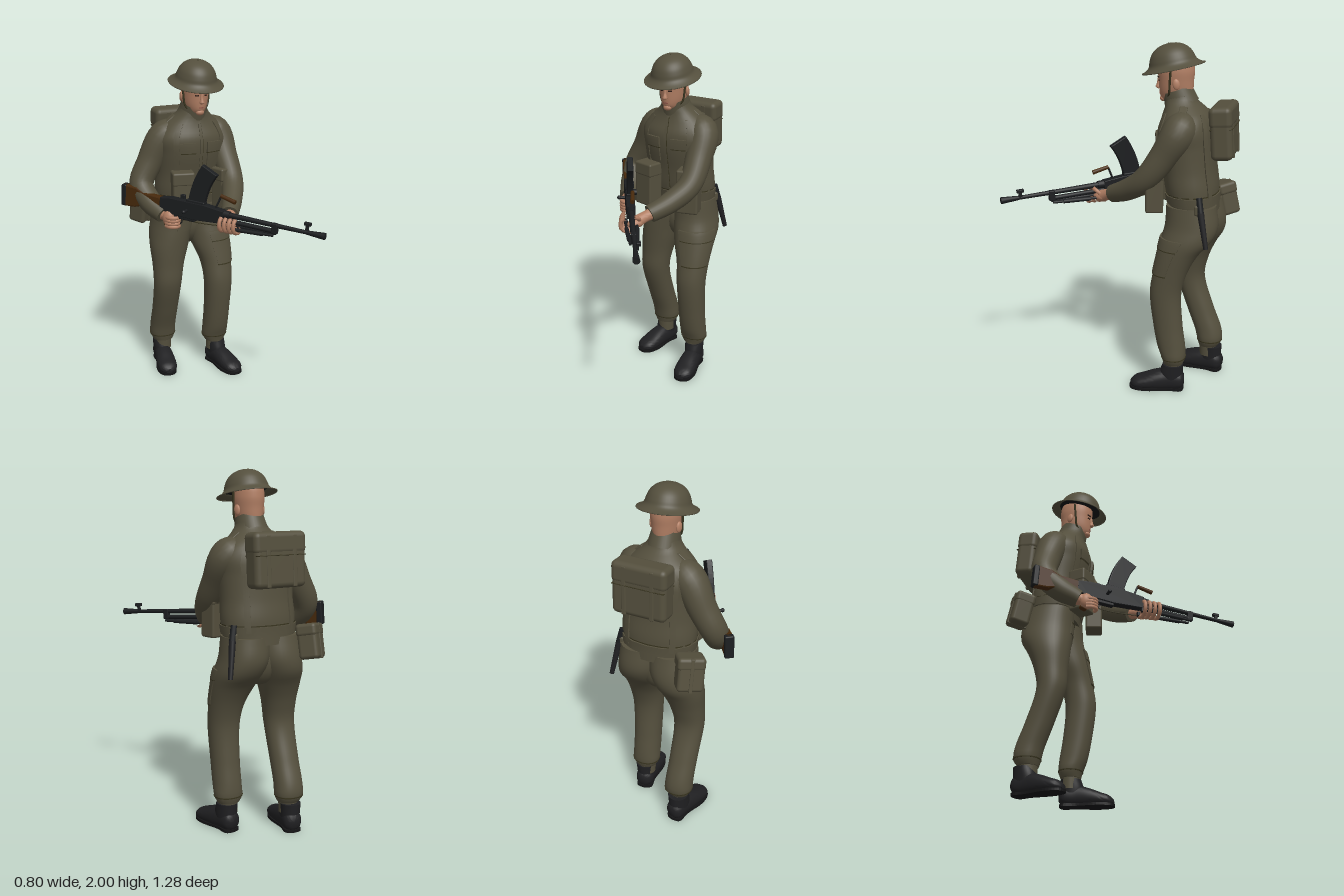
import * as THREE from 'three';
import { toCreasedNormals } from 'three/addons/utils/BufferGeometryUtils.js';
import { RoundedBoxGeometry } from 'three/addons/geometries/RoundedBoxGeometry.js';

const V = (x, y, z) => new THREE.Vector3(x, y, z);
const colour = (name, hex, side = THREE.FrontSide) => {
  const m = new THREE.MeshStandardMaterial({ color: hex, side });
  m.name = name;
  return m;
};

// Grid surface; f(u, v) gives a point, u runs around and v along
function grid(us, vs, f) {
  const pos = [], idx = [], n = us.length;
  vs.forEach((v, j) => us.forEach((u, i) => pos.push(...f(u, v, i, j))));
  for (let j = 0; j < vs.length - 1; j++) for (let i = 0; i < n - 1; i++) {
    const a = j * n + i;
    idx.push(a, a + 1, a + n + 1, a, a + n + 1, a + n);
  }
  const g = new THREE.BufferGeometry();
  g.setAttribute('position', new THREE.Float32BufferAttribute(pos, 3));
  g.setIndex(idx);
  return toCreasedNormals(g, 0.75);
}
const range = (a, b, n) => Array.from({ length: n + 1 }, (_, i) => a + (b - a) * i / n);

// Smooth value of the sections [y, cx, cz, rx, rz] at height y
function sectionAt(S, y) {
  let i = 0;
  while (i < S.length - 2 && y > S[i + 1][0]) i++;
  const h = S[i + 1][0] - S[i][0], t = (y - S[i][0]) / h;
  const slope = (k, c) => {
    const a = S[Math.max(k - 1, 0)], b = S[Math.min(k + 1, S.length - 1)];
    return (b[c] - a[c]) / (b[0] - a[0]) * h;
  };
  return [1, 2, 3, 4].map(c => {
    const p = S[i][c], q = S[i + 1][c], m = slope(i, c), n = slope(i + 1, c), t2 = t * t, t3 = t2 * t;
    return p * (2 * t3 - 3 * t2 + 1) + m * (t3 - 2 * t2 + t) + q * (3 * t2 - 2 * t3) + n * (t3 - t2);
  });
}
const bend = (v, p) => Math.sign(v) * Math.abs(v) ** p;

// Closed body through stacked sections
function loft(S, steps = 28, p = 0.92) {
  const ys = range(S[0][0], S.at(-1)[0], steps);
  const vs = [ys[0], ...ys, ys.at(-1)];
  return grid(range(0, Math.PI * 2, 36), vs, (a, y, i, j) => {
    const [cx, cz, rx, rz] = sectionAt(S, y), k = j === 0 || j === vs.length - 1 ? 0 : 1;
    return [cx + k * rx * bend(Math.sin(a), p), y, cz + k * rz * bend(Math.cos(a), p)];
  });
}
// Raised panel lying on a loft between two heights and two angles
function patch(S, y0, y1, a0, a1, grow, p = 0.92) {
  const as = range(a0, a1, 16), ys = range(y0, y1, 8);
  const us = [a0, ...as, a1], vs = [y0, ...ys, y1];
  return grid(us, vs, (a, y, i, j) => {
    const [cx, cz, rx, rz] = sectionAt(S, y);
    const edge = i === 0 || j === 0 || i === us.length - 1 || j === vs.length - 1;
    const g = edge ? -0.006 : grow;
    return [cx + (rx + g) * bend(Math.sin(a), p), y, cz + (rz + g) * bend(Math.cos(a), p)];
  });
}
// Limb of changing radius; points are [x, y, z, r]
function limb(pts, steps = 26) {
  const c = new THREE.CatmullRomCurve3(pts.map(q => V(q[0], q[1], q[2])));
  const r = new THREE.CatmullRomCurve3(pts.map(q => V(q[3], 0, 0)));
  const ts = range(0, 1, steps), vs = [0, ...ts, 1];
  return grid(range(0, Math.PI * 2, 24), vs, (a, t, i, j) => {
    const T = c.getTangent(t), N = V(1, 0, 0).cross(T).normalize(), B = T.clone().cross(N);
    const R = j === 0 || j === vs.length - 1 ? 0 : r.getPoint(t).x;
    return c.getPoint(t).addScaledVector(N, R * Math.cos(a)).addScaledVector(B, R * Math.sin(a)).toArray();
  });
}
function rod(a, b, r0, r1 = r0, n = 12) {
  const d = V(...b).sub(V(...a)), g = new THREE.CylinderGeometry(r1, r0, d.length(), n);
  g.applyQuaternion(new THREE.Quaternion().setFromUnitVectors(V(0, 1, 0), d.clone().normalize()));
  return g.translate(...V(...a).addScaledVector(d, 0.5).toArray());
}
// Side profile in (z, y), extruded across x
function sideShape(pts, width, bevel = 0.004) {
  const g = new THREE.ExtrudeGeometry(new THREE.Shape(pts.map(q => new THREE.Vector2(...q))),
    { depth: width - 2 * bevel, bevelSize: bevel, bevelThickness: bevel, bevelSegments: 2 });
  return g.translate(0, 0, bevel - width / 2).rotateY(-Math.PI / 2);
}
const box = (w, h, d, r = 0.012) => new RoundedBoxGeometry(w, h, d, 3, r);
const ball = (x, y, z) => new THREE.SphereGeometry(1, 20, 14).scale(x, y, z);

export function createModel() {
  const model = new THREE.Group();
  const olive = colour('olive cloth', 0x544f3d, THREE.DoubleSide), seam = colour('dark seam', 0x38341f);
  const skin = colour('skin', 0xb27f64), black = colour('boot leather', 0x202022);
  const metal = colour('gun metal', 0x1b1d1f), wood = colour('wood', 0x47290b);
  const sole = colour('sole', 0x151516);
  const eyeDark = colour('eye and brow', 0x2c1d16), lip = colour('lips', 0x965c4e);
  const add = (name, geo, mat, pos = [0, 0, 0], rot = [0, 0, 0], parent = model) => {
    const m = new THREE.Mesh(geo, mat);
    m.name = name;
    m.position.set(...pos);
    m.rotation.set(...rot);
    parent.add(m);
    return m;
  };

  // Jacket with belt, pockets, placket and webbing straps
  const torso = [[1.08, .04, -.41, .2, .14], [1.14, .04, -.405, .21, .142], [1.22, .04, -.395, .215, .15],
    [1.32, .04, -.38, .21, .15], [1.45, .04, -.362, .215, .158], [1.54, .04, -.357, .222, .155],
    [1.61, .04, -.36, .18, .135], [1.655, .04, -.345, .128, .11], [1.69, .04, -.325, .092, .09], [1.72, .04, -.32, .08, .08]];
  add('jacket', loft(torso, 36), olive);
  add('collar', new THREE.CylinderGeometry(.076, .09, .085, 36, 1, true).scale(1, 1, 1.08), olive, [.04, 1.708, -.313], [.34, 0, 0]);
  add('belt', patch(torso, 1.13, 1.18, 0, Math.PI * 2, 0.009), olive);
  add('beltSeam', patch(torso, 1.182, 1.188, 0, Math.PI * 2, 0.003), seam);
  add('placket', patch(torso, 1.2, 1.64, -.03, .03, 0.004), olive);
  add('placketSeam', patch(torso, 1.2, 1.64, .03, .04, 0.003), seam);
  for (const s of [-1, 1]) {
    const span = (a, b) => s > 0 ? [a, b] : [-b, -a];
    add('chestPocket', patch(torso, 1.37, 1.5, ...span(.16, .55), 0.007), olive);
    add('chestPocketFlap', patch(torso, 1.46, 1.52, ...span(.14, .57), 0.012), olive);
    add('pocketSeam', patch(torso, 1.454, 1.459, ...span(.14, .57), 0.009), seam);
    add('frontStrap', patch(torso, 1.3, 1.63, ...span(.6, .78), 0.006), olive);
    add('backStrap', patch(torso, 1.15, 1.63, ...span(2.4, 2.58), 0.007), olive);
    add('shoulderTab', box(.1, .012, .045, .005), olive, [.04 + s * .145, 1.64, -.36], [0, 0, -s * .62]);
    add('ammoPouch', box(.13, .25, .1), olive, [.06 + s * .14, 1.215, -.212], [0, s * .25, 0]);
    add('ammoPouchFlap', box(.135, .08, .106), olive, [.06 + s * .14, 1.315, -.212], [0, s * .25, 0]);
  }

  // Trousers
  const left = [[.165, .19, -.335, .062, .058], [.2, .19, -.337, .08, .068], [.27, .19, -.322, .08, .08], [.4, .19, -.3, .08, .084],
    [.6, .19, -.283, .087, .09], [.73, .185, -.308, .098, .098], [.84, .168, -.348, .12, .118], [.92, .157, -.39, .13, .145], [1, .14, -.415, .13, .15], [1.12, .13, -.41, .125, .14]];
  const right = [[.165, -.11, -.49, .062, .058], [.2, -.11, -.497, .08, .074], [.27, -.112, -.485, .08, .08], [.4, -.116, -.435, .08, .08],
    [.6, -.121, -.37, .087, .082], [.73, -.112, -.378, .098, .096], [.84, -.097, -.398, .117, .122], [.92, -.08, -.42, .125, .147], [1, -.06, -.425, .13, .152], [1.12, -.05, -.41, .125, .14]];
  for (const [side, S] of [['left', left], ['right', right]]) {
    add(side + 'TrouserLeg', loft(S, 40), olive);
    add(side + 'TrouserCuffSeam', patch(S, .2, .206, 0, Math.PI * 2, 0.003), seam);
    add(side + 'Gaiter', rod([S[0][1], .1, S[0][2]], [S[0][1], .19, S[0][2]], .052, .055, 20), olive);
  }
  add('seat', ball(.12, .15, .115), olive, [.038, .99, -.412]);
  add('thighPocket', patch(left, .73, .92, -.25, 1.5, 0.006), olive);
  add('thighPocketFlap', patch(left, .88, .94, -.27, 1.52, 0.009), olive);
  add('thighPocketSeam', patch(left, .874, .879, -.25, 1.5, 0.008), seam);
  add('thighPocketHem', patch(left, .722, .728, -.25, 1.5, 0.004), seam);
  add('mapPocket', patch(right, .96, 1.04, -.15, .55, 0.006), olive);
  add('mapPocketSeam', patch(right, 1.03, 1.035, -.15, .55, 0.008), seam);

  // Boots: heel at the group origin, toe along +z
  const bootS = [[0, 0, -.06, .03, .03], [.02, 0, -.06, .05, .055], [.1, 0, -.06, .054, .065], [.17, 0, -.052, .06, .058],
    [.24, 0, -.04, .062, .043], [.29, 0, -.033, .052, .031], [.315, 0, -.027, .022, .014]];
  const outline = new THREE.Shape(new THREE.SplineCurve([[0, 0], [.047, .02], [.045, .1], [.063, .22], [.045, .3], [0, .322],
    [-.045, .3], [-.063, .22], [-.045, .1], [-.047, .02], [0, 0]].map(q => new THREE.Vector2(...q))).getPoints(50));
  for (const [side, x, z, yaw] of [['left', .187, -.4, .16], ['right', -.1, -.575, -.2]]) {
    const boot = new THREE.Group();
    boot.name = side + 'Boot';
    boot.position.set(x, 0, z);
    boot.rotation.y = yaw;
    const upper = loft(bootS, 24).rotateX(Math.PI / 2), P = upper.attributes.position;
    for (let i = 0; i < P.count; i++) P.setY(i, Math.max(P.getY(i), 0.013));
    add('bootUpper', upper, black, [0, 0, 0], [0, 0, 0], boot);
    add('bootShaft', loft([[.04, 0, .07, .05, .062], [.1, 0, .075, .055, .068], [.158, 0, .066, .058, .06]], 8), black, [0, 0, 0], [0, 0, 0], boot);
    add('bootSole', new THREE.ExtrudeGeometry(outline, { depth: .015, bevelEnabled: false }).rotateX(Math.PI / 2), sole, [0, .015, 0], [0, 0, 0], boot);
    model.add(boot);
  }

  // Sleeves
  add('leftSleeve', limb([[.12, 1.59, -.355, .065], [.2, 1.545, -.35, .096], [.226, 1.41, -.27, .079], [.226, 1.27, -.165, .069],
    [.167, 1.19, -.05, .062], [.098, 1.14, .055, .052]]), olive);
  add('rightSleeve', limb([[-.04, 1.59, -.37, .065], [-.128, 1.54, -.38, .092], [-.213, 1.39, -.395, .08], [-.278, 1.26, -.38, .073],
    [-.255, 1.165, -.29, .068], [-.215, 1.11, -.19, .052]]), olive);

  // Hands
  const finger = (name, pts) => add(name, new THREE.TubeGeometry(new THREE.CatmullRomCurve3(pts.map(q => V(...q))), 10, .012, 8), skin);
  add('leftWrist', limb([[.11, 1.145, .04, .035], [.085, 1.13, .085, .032], [.06, 1.11, .13, .036]], 10), skin);
  add('leftPalm', ball(.034, .028, .055), skin, [.06, 1.106, .14], [.1, -.5, 0]);
  add('rightWrist', limb([[-.22, 1.115, -.21, .036], [-.205, 1.11, -.18, .034], [-.19, 1.1, -.15, .036]], 10), skin);
  add('rightPalm', ball(.037, .05, .042), skin, [-.197, 1.1, -.15], [0, .6, 0]);
  for (let i = 0; i < 4; i++) {
    const x = .01 + i * .016, z = .12 + i * .026, y = 1.055 + i * .018;
    finger('leftFinger', [[x + .045, 1.095, z - .015], [x + .015, 1.075, z + .015], [x - .03, 1.095, z + .042], [x - .032, 1.14, z + .043], [x - .015, 1.158, z + .032]]);
    finger('rightFinger', [[-.22, y, -.145], [-.21, y, -.11], [-.175, y, -.094], [-.15, y, -.112]]);
  }
  finger('leftThumb', [[.08, 1.12, .13], [.085, 1.145, .16], [.075, 1.155, .18]]);
  finger('rightThumb', [[-.19, 1.12, -.15], [-.165, 1.13, -.135], [-.145, 1.13, -.115]]);

  // Head and face
  const head = [[1.64, .04, -.325, .056, .058], [1.685, .04, -.305, .05, .076], [1.705, .04, -.294, .055, .086], [1.74, .04, -.294, .068, .094],
    [1.8, .04, -.293, .077, .098], [1.86, .04, -.292, .081, .103], [1.92, .04, -.29, .068, .09], [1.95, .04, -.29, .03, .04]];
  add('head', loft(head, 30, 1), skin);
  add('nose', loft([[1.75, .04, -.194, .012, .008], [1.758, .04, -.192, .015, .016], [1.775, .04, -.194, .01, .012], [1.81, .04, -.196, .007, .008]], 10, 1), skin);
  add('chin', ball(.026, .018, .02), skin, [.04, 1.697, -.222]);
  add('lips', patch(head, 1.723, 1.73, -.22, .22, .002, 1), lip);
  for (const s of [-1, 1]) {
    const span = (a, b) => s > 0 ? [a, b] : [-b, -a];
    add('eye', patch(head, 1.794, 1.802, ...span(.24, .5), .002, 1), eyeDark);
    add('brow', patch(head, 1.814, 1.82, ...span(.2, .56), .004, 1), eyeDark);
    add('ear', ball(.011, .03, .02), skin, [.04 + s * .08, 1.785, -.31], [.15, s * .3, 0]);
  }
  const strap = new THREE.CatmullRomCurve3([[-.047, 1.88, -.28], [-.042, 1.8, -.274], [-.03, 1.73, -.268], [.04, 1.683, -.235],
    [.11, 1.73, -.268], [.122, 1.8, -.274], [.127, 1.88, -.28]].map(q => V(...q)));
  add('chinStrap', new THREE.TubeGeometry(strap, 40, .0065, 6), seam);

  // Wide-brimmed helmet
  const helmet = new THREE.Group();
  helmet.name = 'helmet';
  helmet.position.set(.04, 1.864, -.277);
  helmet.rotation.x = .22;
  helmet.scale.z = 1.1;
  const dome = new THREE.SplineCurve([[.16, 0], [.138, .013], [.122, .03], [.114, .056], [.1, .087], [.075, .114], [.04, .131], [0, .137]].map(q => new THREE.Vector2(...q)));
  add('helmetShell', new THREE.LatheGeometry(dome.getPoints(30), 48), olive, [0, 0, 0], [0, 0, 0], helmet);
  add('helmetRim', new THREE.TorusGeometry(.16, .003, 6, 48).rotateX(Math.PI / 2), olive, [0, 0, 0], [0, 0, 0], helmet);
  add('helmetLining', new THREE.CircleGeometry(.12, 36).rotateX(Math.PI / 2), sole, [0, .026, 0], [0, 0, 0], helmet);
  add('helmetRivet', ball(.004, .003, .004), seam, [0, .137, 0], [0, 0, 0], helmet);
  model.add(helmet);

  // Backpack
  add('backpack', box(.31, .29, .12, .03), olive, [.04, 1.535, -.57], [.07, 0, 0]);
  add('backpackFlap', box(.317, .12, .126, .03), olive, [.04, 1.622, -.564], [.07, 0, 0]);
  for (const s of [-1, 1]) add('backpackStrap', box(.026, .27, .127, .005), olive, [.04 + s * .08, 1.53, -.57], [.07, 0, 0]);
  add('backpackSeam', box(.3, .005, .123, .002), seam, [.04, 1.56, -.57], [.07, 0, 0]);

  // Hip bag behind the right hip
  const bagRot = [.22, .65, 0];
  add('hipBag', box(.145, .19, .11, .02), olive, [-.21, 1.078, -.545], bagRot);
  add('hipBagFlap', box(.152, .07, .117, .02), olive, [-.208, 1.14, -.532], bagRot);
  add('hipBagStrap', box(.02, .195, .118, .004), olive, [-.21, 1.078, -.545], bagRot);

  // Bayonet on the left hip
  add('scabbard', rod([.25, 1.11, -.485], [.285, .915, -.525], .019, .013), black);
  add('bayonetHandle', rod([.232, 1.19, -.47], [.25, 1.11, -.485], .018, .018), metal);
  add('bayonetFrog', box(.04, .06, .05), olive, [.238, 1.12, -.472]);

  // Light machine gun: butt at the group origin, muzzle along +z
  const gun = new THREE.Group();
  gun.name = 'lightMachineGun';
  gun.position.set(-.38, 1.205, -.415);
  gun.rotation.set(.064, .632, 0, 'YXZ');
  const part = (name, geo, mat = metal, pos, rot) => add(name, geo, mat, pos, rot, gun);
  part('buttPlate', box(.052, .132, .034, .008), metal, [0, 0, .014]);
  part('stock', sideShape([[.02, .058], [.02, -.06], [.09, -.055], [.15, -.035], [.28, -.03], [.28, .025], [.15, .03], [.1, .052]], .046, .008), wood);
  part('receiver', sideShape([[.27, -.035], [.27, .03], [.34, .04], [.56, .04], [.68, .028], [.68, -.04], [.5, -.055], [.34, -.05]], .05));
  part('triggerHousing', box(.036, .04, .2, .006), metal, [0, -.055, .4]);
  part('pistolGrip', box(.034, .09, .042, .01), wood, [0, -.095, .325], [.3, 0, 0]);
  part('triggerGuard', new THREE.TorusGeometry(.026, .004, 6, 20).rotateY(Math.PI / 2), metal, [0, -.085, .385]);
  part('rearSight', box(.02, .035, .03, .005), metal, [.02, .05, .4]);
  part('sightDrum', rod([.02, .01, .42], [.045, .01, .42], .018));
  part('cockingHandle', rod([-.02, -.01, .45], [-.058, -.01, .45], .009));
  part('cockingKnob', ball(.012, .012, .012), metal, [-.06, -.01, .45]);
  const arc = (a, b, c) => new THREE.QuadraticBezierCurve(new THREE.Vector2(...a), new THREE.Vector2(...b), new THREE.Vector2(...c)).getPoints(10).map(q => [q.x, q.y]);
  part('magazine', sideShape([...arc([.455, .03], [.465, .16], [.532, .27]), ...arc([.622, .228], [.565, .15], [.55, .03])], .034));
  part('magazineCatch', box(.044, .025, .12, .006), metal, [0, .045, .5]);
  part('handleStem', rod([0, .02, .62], [.01, .105, .65], .006));
  part('carryHandle', rod([.01, .11, .65], [.005, .09, .745], .011, .013), wood);
  part('barrel', rod([0, .01, .66], [0, .01, 1.2], .017, .011, 16));
  part('barrelCollar', rod([0, .01, .66], [0, .01, .72], .025, .022, 16));
  part('flashHider', rod([0, .01, 1.19], [0, .01, 1.297], .012, .02, 16));
  part('gasTube', rod([0, -.025, .66], [0, -.025, 1.0], .014));
  part('gasBlock', box(.03, .06, .035, .005), metal, [0, -.008, 1.0]);
  part('frontSightPost', box(.012, .04, .02, .003), metal, [.012, .036, 1.185]);
  part('frontSightGuard', box(.024, .018, .04, .003), metal, [.016, .053, 1.185]);
  for (const s of [-1, 1]) {
    part('bipodLeg', rod([s * .018, -.045, 1.0], [s * .034, -.06, .68], .008));
    part('bipodSleeve', rod([s * .022, -.048, .94], [s * .03, -.056, .78], .012));
    part('bipodFoot', box(.022, .03, .03, .005), metal, [s * .03, -.062, .68]);
  }
  part('sling', new THREE.TubeGeometry(new THREE.CatmullRomCurve3([V(.02, -.05, .2), V(.03, -.09, .45), V(.025, -.05, .85)]), 20, .003, 6), seam);
  model.add(gun);
  return model;
}
